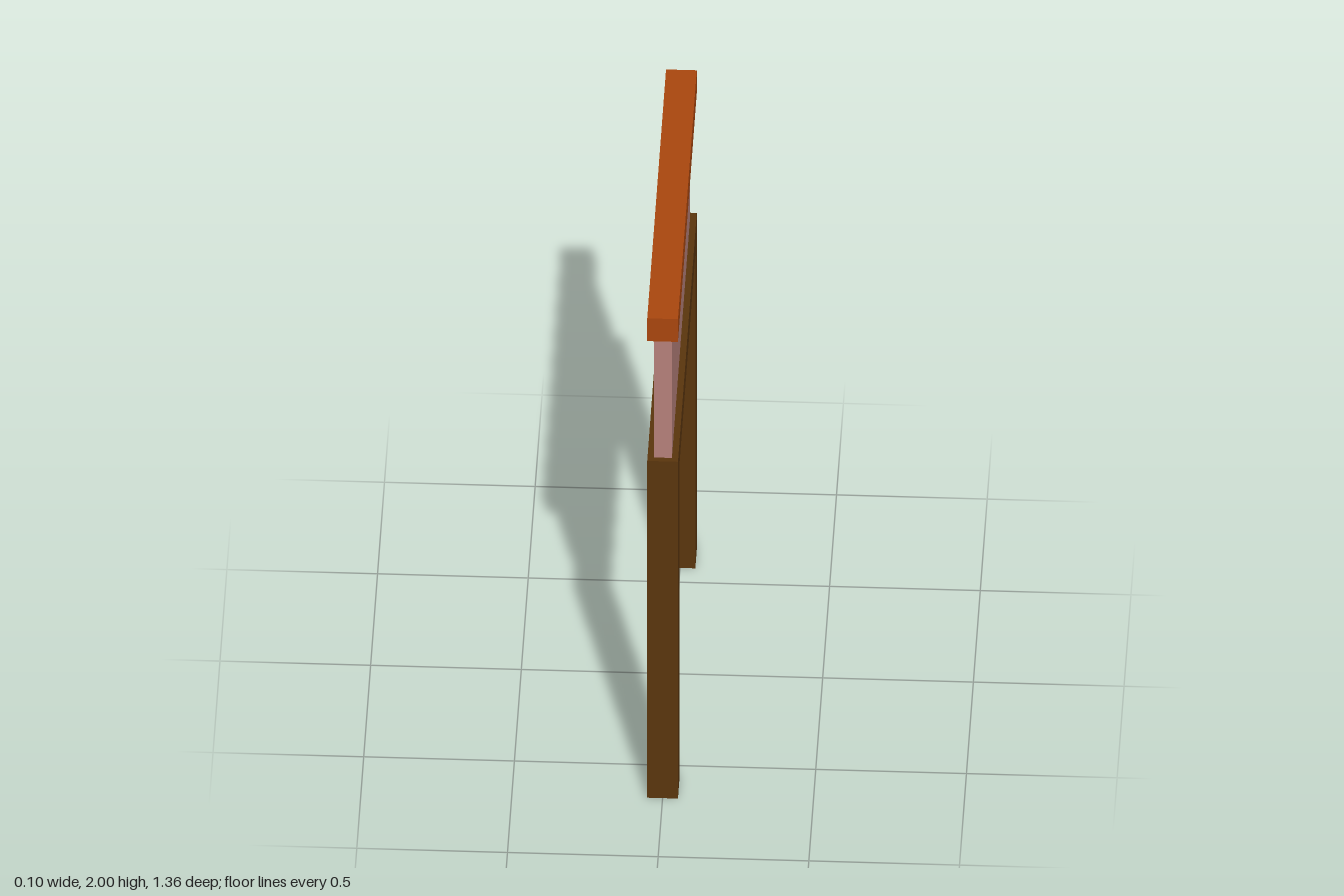
import * as THREE from 'three';

const frameMat = new THREE.MeshStandardMaterial({ name: 'dark brown wood', color: 0x5a350d, side: THREE.DoubleSide });
const panelMat = new THREE.MeshStandardMaterial({ name: 'dusty pink', color: 0xb5807a });
const railMat = new THREE.MeshStandardMaterial({ name: 'rust orange', color: 0xa9460e });

// Two legs and a crossbeam as one arch in the z-y plane, hollow at the feet
function archGeometry(halfLength, legWidth, height, beamHeight, depth) {
  const inner = halfLength - legWidth;
  const under = height - beamHeight;
  const shape = new THREE.Shape([
    [-halfLength, 0], [-inner, 0], [-inner, under], [inner, under],
    [inner, 0], [halfLength, 0], [halfLength, height], [-halfLength, height],
  ].map(([x, y]) => new THREE.Vector2(x, y)));
  const solid = new THREE.ExtrudeGeometry(shape, { depth, bevelEnabled: false });
  solid.translate(0, 0, -depth / 2).rotateY(Math.PI / 2);

  // Leave out the faces lying on the ground, so the legs are open below
  const p = solid.attributes.position;
  const index = [];
  for (let i = 0; i < p.count; i += 3) {
    const top = Math.max(p.getY(i), p.getY(i + 1), p.getY(i + 2));
    if (top > 1e-4) index.push(i, i + 1, i + 2);
  }
  solid.clearGroups();
  solid.setIndex(index);
  return solid;
}

function box(name, material, width, length, bottom, top) {
  const mesh = new THREE.Mesh(new THREE.BoxGeometry(width, top - bottom, length), material);
  mesh.name = name;
  mesh.position.y = (bottom + top) / 2;
  return mesh;
}

export function createModel() {
  const model = new THREE.Group();
  model.name = 'panelledArch';

  const frame = new THREE.Mesh(archGeometry(0.68, 0.102, 1.405, 0.095, 0.102), frameMat);
  frame.name = 'legFrame';

  model.add(
    frame,
    box('panel', panelMat, 0.06, 1.32, 1.405, 1.905),
    box('topRail', railMat, 0.102, 1.36, 1.905, 2),
  );
  return model;
}
